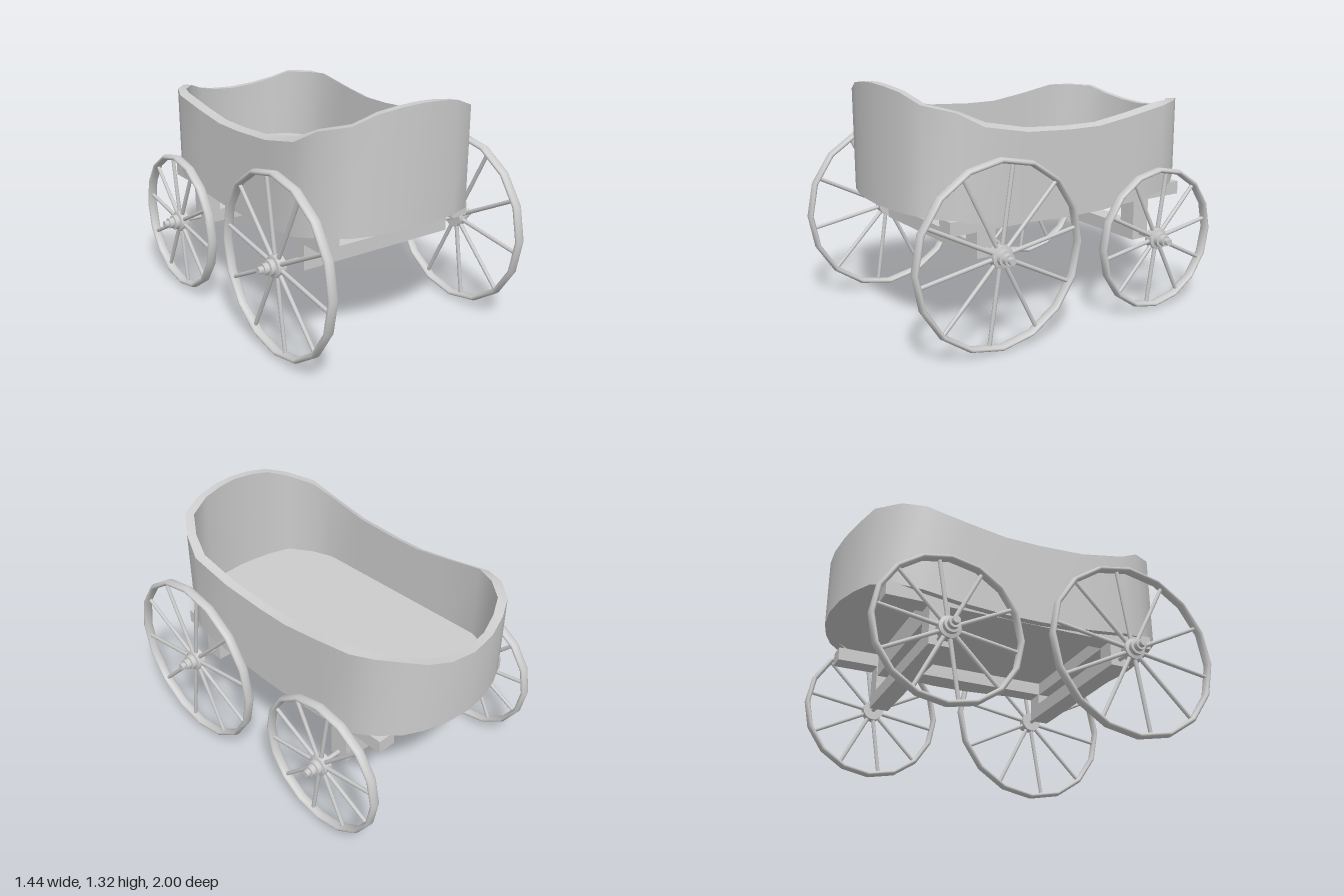
import * as THREE from 'three';
import { toCreasedNormals } from 'three/addons/utils/BufferGeometryUtils.js';

const material = new THREE.MeshStandardMaterial({ color: 0xcccccc });

function add(parent, name, geometry, x = 0, y = 0, z = 0) {
  const mesh = new THREE.Mesh(geometry, material);
  mesh.name = name;
  mesh.position.set(x, y, z);
  parent.add(mesh);
  return mesh;
}

// Half outline of the tub from front centre to back centre: x, z, top y, bottom y
const HALF = [
  [0, 0.87, 1.322, 0.69], [0.125, 0.862, 1.315, 0.69], [0.25, 0.843, 1.297, 0.69],
  [0.38, 0.803, 1.247, 0.69], [0.477, 0.66, 1.208, 0.667], [0.523, 0.53, 1.135, 0.643],
  [0.523, 0.27, 1.085, 0.615], [0.523, 0, 1.07, 0.602], [0.523, -0.2, 1.07, 0.602],
  [0.523, -0.42, 1.1, 0.615], [0.523, -0.66, 1.14, 0.645], [0.477, -0.78, 1.152, 0.672],
  [0.38, -0.895, 1.145, 0.69], [0.28, -0.945, 1.106, 0.69], [0.15, -0.985, 1.077, 0.69],
  [0, -1, 1.065, 0.69],
];
const OUTLINE = [...HALF, ...HALF.slice(1, -1).reverse().map(([x, ...rest]) => [-x, ...rest])];
const inset = (x, z) => [x * 0.92, -0.065 + (z + 0.065) * 0.952];

// Curved wall: a four-cornered section swept round the outline
function wallGeometry() {
  const sections = OUTLINE.map(([x, z, top, bottom]) => {
    const [ix, iz] = inset(x, z);
    const innerTop = top + (Math.abs(x) > 0.5 ? 0.016 : 0);
    return [[x, bottom, z], [x, top, z], [ix, innerTop, iz], [ix, bottom, iz]];
  });
  const positions = [];
  sections.forEach((s, i) => {
    const n = sections[(i + 1) % sections.length];
    for (let j = 0; j < 4; j++) {
      const k = (j + 1) % 4;
      positions.push(...s[j], ...n[j], ...n[k], ...s[j], ...n[k], ...s[k]);
    }
  });
  const geometry = new THREE.BufferGeometry();
  geometry.setAttribute('position', new THREE.Float32BufferAttribute(positions, 3));
  return toCreasedNormals(geometry, 0.7);
}

// Flat floor filling the inside of the wall
function floorGeometry() {
  const points = OUTLINE.map(([x, z]) => {
    const [ix, iz] = inset(x, z);
    return new THREE.Vector2(ix, -iz);
  });
  const geometry = new THREE.ExtrudeGeometry(new THREE.Shape(points), { depth: 0.04, bevelEnabled: false });
  return geometry.rotateX(-Math.PI / 2);
}

// Spoked wheel with a stepped hub pointing outwards
function makeWheel(name, radius, side) {
  const wheel = new THREE.Group();
  wheel.name = name;
  const tube = 0.015;
  const rim = new THREE.TorusGeometry(radius - tube, tube, 12, 16);
  rim.scale(1, 1, 1.9).rotateY(Math.PI / 2);
  add(wheel, 'rim', rim);

  const length = radius - 0.05;
  for (let k = 0; k < 10; k++) {
    const spoke = new THREE.CylinderGeometry(0.011, 0.012, length, 8);
    spoke.translate(0, 0.03 + length / 2, 0);
    spoke.rotateX(-THREE.MathUtils.degToRad(9 + 36 * k));
    add(wheel, 'spoke', spoke);
  }

  const profile = [
    [0, -0.027], [0.06, -0.027], [0.06, 0.02], [0.043, 0.025], [0.043, 0.05],
    [0.03, 0.052], [0.03, 0.08], [0.019, 0.08], [0.019, 0.107], [0, 0.107],
  ].map(([r, h]) => new THREE.Vector2(r, h));
  const hub = toCreasedNormals(new THREE.LatheGeometry(profile, 16), 0.6);
  add(wheel, 'hub', hub.rotateZ(-side * Math.PI / 2));
  return wheel;
}

export function createModel() {
  const cart = new THREE.Group();
  cart.name = 'cart';

  add(cart, 'tubWall', wallGeometry());
  add(cart, 'tubFloor', floorGeometry(), 0, 0.69, 0);

  // Long rails under the tub
  for (const side of [-1, 1]) {
    add(cart, 'rail', new THREE.BoxGeometry(0.105, 0.075, 1.55), side * 0.43, 0.6375, -0.065);
  }

  // Axle assemblies: beam, end posts, crossbar, axle and wheels
  const axles = [
    { name: 'front', z: 0.5, y: 0.5, radius: 0.5, bottom: 0.46, top: 0.54, barBottom: 0.6 },
    { name: 'back', z: -0.553, y: 0.41, radius: 0.405, bottom: 0.375, top: 0.45, barBottom: 0.54 },
  ];
  for (const { name, z, y, radius, bottom, top, barBottom } of axles) {
    add(cart, name + 'AxleBeam', new THREE.BoxGeometry(0.965, top - bottom, 0.11), 0, (top + bottom) / 2, z);
    const bar = new THREE.BoxGeometry(0.76, 0.675 - barBottom, 0.1);
    add(cart, name + 'Crossbar', bar, 0, (0.675 + barBottom) / 2, z);
    const axle = new THREE.CylinderGeometry(0.0125, 0.0125, 1.24, 10).rotateZ(Math.PI / 2);
    add(cart, name + 'Axle', axle, 0, y, z);
    for (const side of [-1, 1]) {
      add(cart, name + 'Post', new THREE.BoxGeometry(0.105, 0.6 - top, 0.11), side * 0.43, (0.6 + top) / 2, z);
      const wheel = makeWheel(name + (side > 0 ? 'LeftWheel' : 'RightWheel'), radius, side);
      wheel.position.set(side * 0.615, y, z);
      cart.add(wheel);
    }
  }
  return cart;
}
